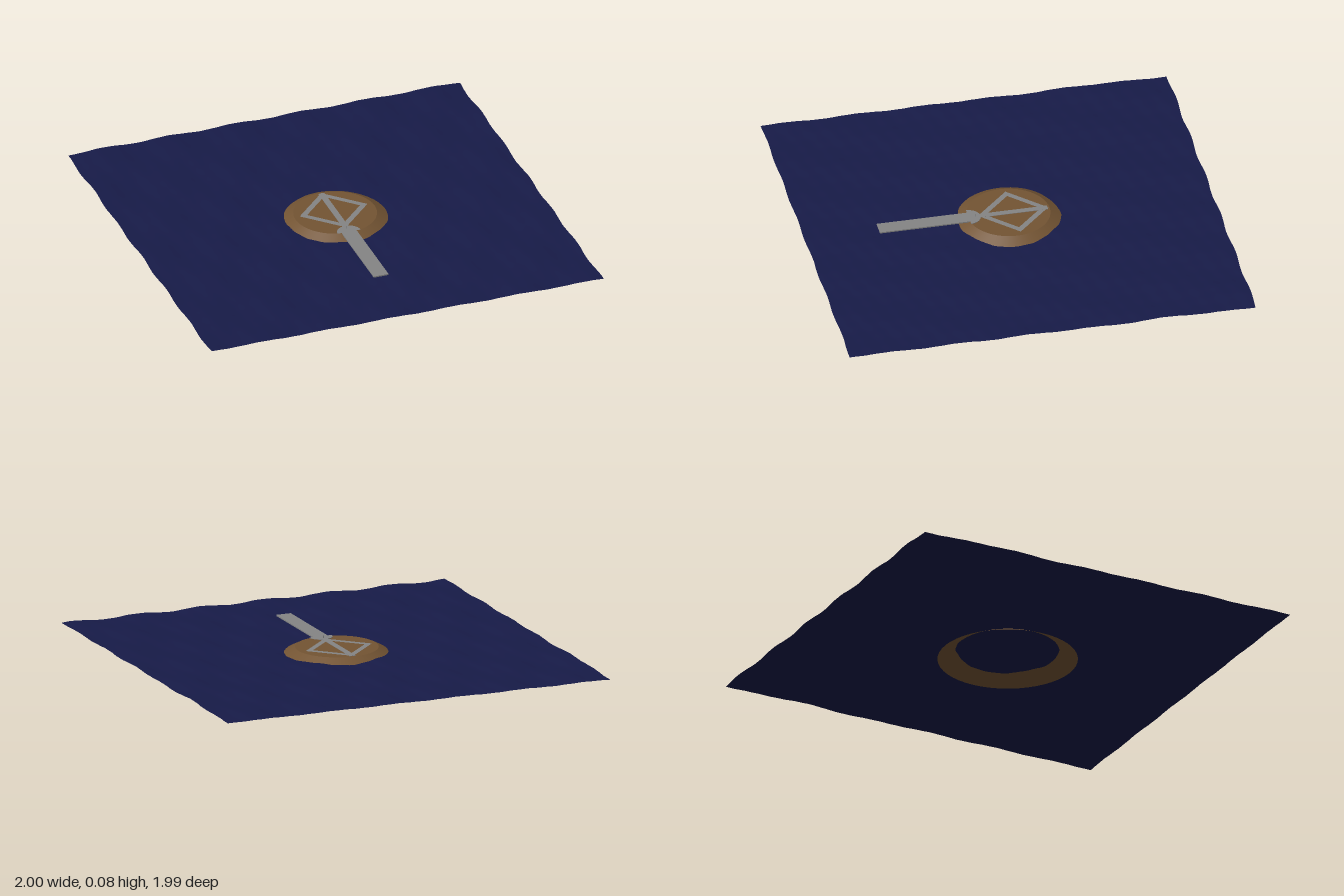
import * as THREE from 'three';

const material = (color) => new THREE.MeshStandardMaterial({ color, side: THREE.DoubleSide, roughness: 1 });

export function createModel() {
  const model = new THREE.Group();
  const sand = material(0x735433);
  const stone = material(0x858585);
  const water = material(0x171b48);

  const add = (name, geometry, mat, x = 0, y = 0, z = 0, parent = model) => {
    const mesh = new THREE.Mesh(geometry, mat);
    mesh.name = name;
    mesh.position.set(x, y, z);
    parent.add(mesh);
    return mesh;
  };

  // Rippled water sheet: crossing diagonal waves with a fine chop
  const sea = new THREE.PlaneGeometry(1.99, 1.98, 140, 140).rotateX(-Math.PI / 2);
  const p = sea.attributes.position;
  for (let i = 0; i < p.count; i++) {
    const x = p.getX(i), z = p.getZ(i);
    const swell = Math.sin(19 * x + 9 * z) + Math.sin(19 * x - 11 * z + 1);
    const chop = Math.sin(43 * x + 31 * z) * Math.sin(37 * z - 23 * x);
    p.setXYZ(i,
      x + 0.004 * Math.cos(19 * z + 7 * x),
      0.045 + 0.0018 * swell + 0.001 * chop,
      z + 0.004 * Math.cos(19 * x + 7 * z));
  }
  sea.computeVertexNormals();
  add('water', sea, water);

  // Island: sloping sand shore, open below, with a flat top
  add('islandShore', new THREE.CylinderGeometry(0.2, 0.335, 0.068, 48, 1, true), sand, 0, 0.034, 0);
  add('islandTop', new THREE.CircleGeometry(0.2, 48).rotateX(-Math.PI / 2), sand, 0, 0.068, 0);

  // Diamond path with a hole through its middle
  const paths = new THREE.Group();
  paths.name = 'paths';
  model.add(paths);
  const diamond = (Type, r) => new Type(
    [[r, 0], [0, r], [-r, 0], [0, -r]].map(([x, y]) => new THREE.Vector2(x, y)));
  const ring = diamond(THREE.Shape, 0.172);
  ring.holes.push(diamond(THREE.Path, 0.134));
  add('diamondPath', new THREE.ShapeGeometry(ring).rotateX(-Math.PI / 2), stone, 0, 0.0695, -0.022, paths);
  add('centrePath', new THREE.BoxGeometry(0.03, 0.002, 0.35), stone, 0, 0.069, -0.015, paths);

  // Rounded landing where the pier meets the island
  add('landing', new THREE.CylinderGeometry(0.058, 0.058, 0.003, 24, 1, false, Math.PI / 2, Math.PI),
    stone, 0, 0.0685, 0.195, paths);

  // Pier over the water
  add('pier', new THREE.BoxGeometry(0.075, 0.006, 0.445), stone, 0, 0.067, 0.4125);

  // Small marker post
  add('markerPost', new THREE.CylinderGeometry(0.002, 0.002, 0.014, 8), stone, 0, 0.075, 0.16);
  return model;
}
